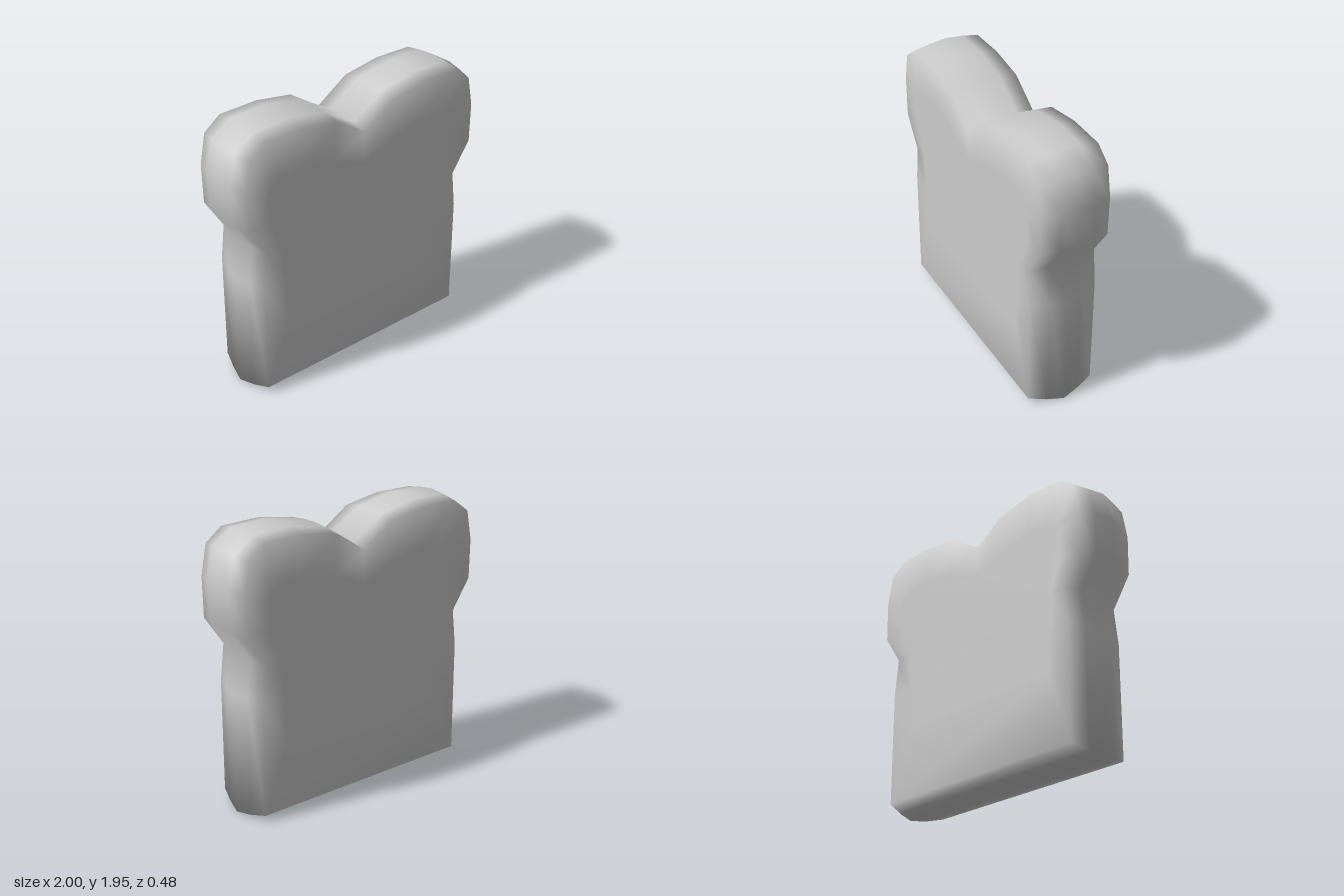
import * as THREE from 'three';

// Half outlines, from the top notch clockwise to the bottom corner
const CRUST = [[0, 1.74], [0.235, 1.885], [0.54, 1.945], [0.78, 1.935], [0.945, 1.83],
  [1, 1.62], [0.99, 1.34], [0.855, 1.12], [0.89, 0.85], [0.89, 0]];
const EDGE = [[0, 1.705], [0.23, 1.86], [0.5, 1.905], [0.78, 1.9], [0.9, 1.81],
  [0.94, 1.6], [0.935, 1.32], [0.795, 1.11], [0.825, 0.85], [0.825, 0.05]];
const INNER = [[0, 1.48], [0.25, 1.58], [0.5, 1.64], [0.68, 1.63], [0.75, 1.58],
  [0.77, 1.5], [0.77, 1.33], [0.68, 1.1], [0.66, 0.85], [0.64, 0.55]];

// Mirror a half outline into a closed ring
function ring(half) {
  const left = half.slice(1).reverse().map(([x, y]) => [-x, y]);
  return [...half, ...left];
}

// Outline between edge and crust, bulging more in height than in width
const MIDDLE = CRUST.map(([x, y], i) => [
  THREE.MathUtils.lerp(EDGE[i][0], x, 0.55),
  THREE.MathUtils.lerp(EDGE[i][1], y, 0.65),
]);

function breadGeometry() {
  const halfDepth = 0.24;
  const sections = [
    [INNER, halfDepth], [EDGE, halfDepth], [MIDDLE, halfDepth / 2], [CRUST, 0],
    [MIDDLE, -halfDepth / 2], [EDGE, -halfDepth], [INNER, -halfDepth],
  ];
  const positions = [];
  for (const [half, z] of sections) {
    for (const [x, y] of ring(half)) positions.push(x, y, z);
  }

  // Crust and face borders: strips between neighbouring rings
  const n = CRUST.length * 2 - 1;
  const index = [];
  for (let r = 0; r < sections.length - 1; r++) {
    for (let i = 0; i < n; i++) {
      const a = r * n + i, b = r * n + (i + 1) % n;
      index.push(a, b, b + n, a, b + n, a + n);
    }
  }

  // Flat middles of the two faces
  const inner = ring(INNER).map(([x, y]) => new THREE.Vector2(x, y));
  const back = (sections.length - 1) * n;
  for (const [a, b, c] of THREE.ShapeUtils.triangulateShape(inner, [])) {
    const ccw = THREE.ShapeUtils.area([inner[a], inner[b], inner[c]]) > 0;
    const [p, q] = ccw ? [b, c] : [c, b];
    index.push(a, p, q, back + a, back + q, back + p);
  }

  const geometry = new THREE.BufferGeometry();
  geometry.setAttribute('position', new THREE.Float32BufferAttribute(positions, 3));
  geometry.setIndex(index);
  geometry.computeVertexNormals();
  return geometry;
}

export function createModel() {
  const group = new THREE.Group();
  group.name = 'breadSlice';
  const slice = new THREE.Mesh(breadGeometry(), new THREE.MeshStandardMaterial({ color: 0xcccccc }));
  slice.name = 'slice';
  group.add(slice);
  return group;
}
